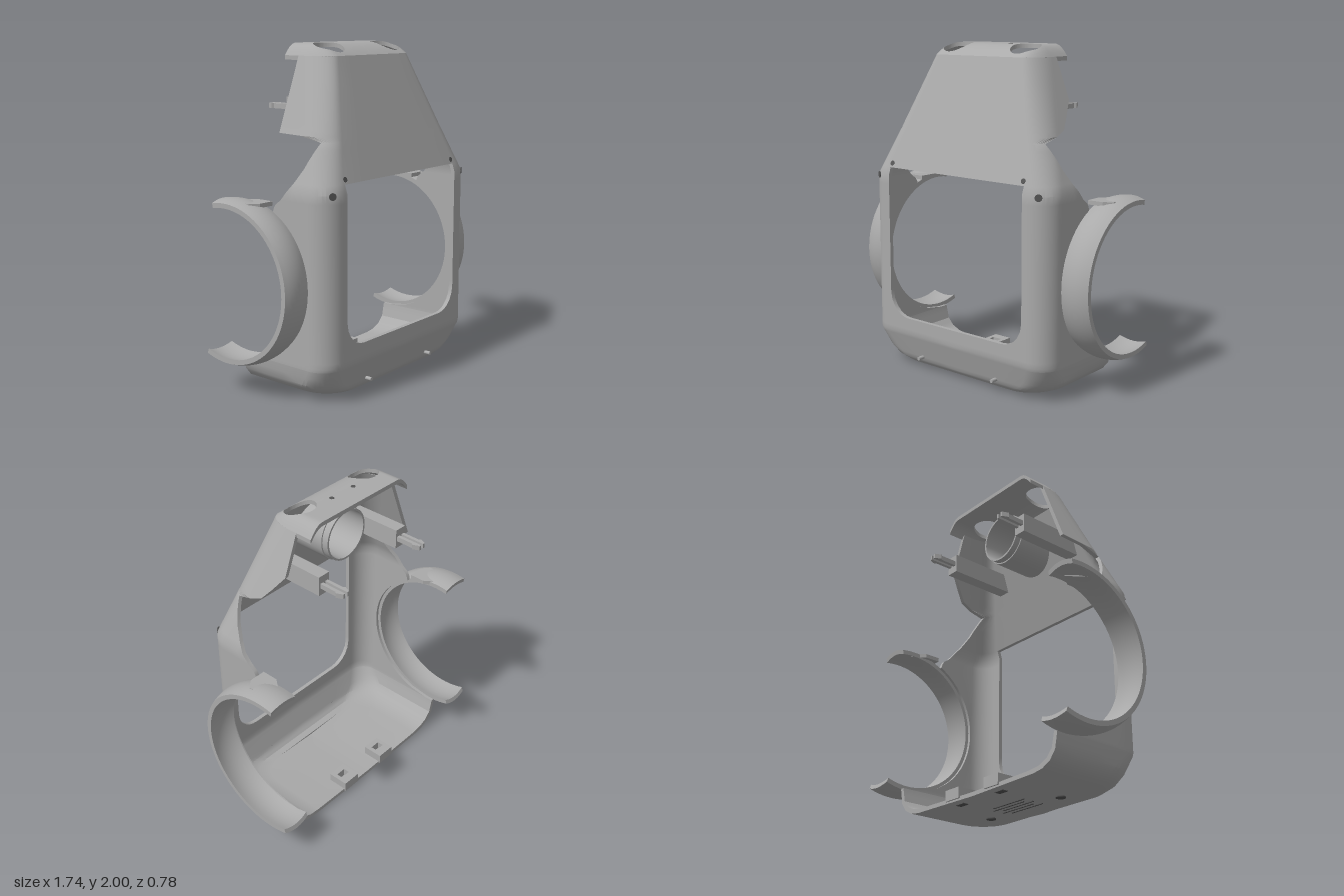
import * as THREE from 'three';
import { toCreasedNormals } from 'three/addons/utils/BufferGeometryUtils.js';

const T = 0.025; // wall thickness
const V = (x, y, z) => new THREE.Vector3(x, y, z);
const range = (n, f) => Array.from({ length: n + 1 }, (_, i) => f(i / n));

// Piecewise linear lookup in a small table of [key, value]
function look(table, k) {
  if (k <= table[0][0]) return table[0][1];
  for (let i = 1; i < table.length; i++) {
    const [a, va] = table[i - 1], [b, vb] = table[i];
    if (k <= b) return va + (vb - va) * (k - a) / (b - a);
  }
  return table[table.length - 1][1];
}

// Thick skin between matching outer and inner rows of points; sx = -1 mirrors it
function loft(outer, inner, sx = 1) {
  const loops = outer.map((o, i) => [...o, ...inner[i].slice().reverse()]);
  const m = loops[0].length, last = loops.length - 1, pos = [], idx = [];
  loops.flat().forEach(p => pos.push(p.x * sx, p.y, p.z));
  const quad = (a, b, c, d) => sx > 0 ? idx.push(a, b, c, a, c, d) : idx.push(a, c, b, a, d, c);
  for (let i = 0; i < last; i++) for (let j = 0; j < m; j++) {
    const k = (j + 1) % m;
    quad(i * m + j, i * m + k, (i + 1) * m + k, (i + 1) * m + j);
  }
  const e = last * m;
  for (let j = 0; j < m / 2 - 1; j++) {
    quad(e + j, e + j + 1, e + m - 2 - j, e + m - 1 - j);
    quad(m - 1 - j, m - 2 - j, j + 1, j);
  }
  const g = new THREE.BufferGeometry();
  g.setAttribute('position', new THREE.Float32BufferAttribute(pos, 3));
  g.setIndex(idx);
  return toCreasedNormals(g, 0.5);
}

// Body outline as functions of height
const halfWidth = [[0.01, 0.5], [0.02, 0.57], [0.05, 0.63], [0.1, 0.67], [0.2, 0.69], [1.2, 0.69], [1.52, 0.56], [1.93, 0.4]];
const frontZ = [[0.01, 0.27], [0.02, 0.31], [0.05, 0.335], [0.22, 0.39], [1.2, 0.39], [1.93, 0.15]];
const cornerX = [[0.01, 0.2], [0.2, 0.14], [1.2, 0.14], [1.93, 0.09]];
const cornerZ = [[0.01, 0.2], [0.2, 0.14], [1.2, 0.14], [1.93, 0.17]];
const shoulder = [[1.07, -0.02], [1.12, 0.01], [1.15, 0.05], [1.23, 0.12], [1.33, 0.18], [1.43, 0.22], [1.47, 0.235]];
const upperLeft = [...shoulder, [1.5, 0.14], [1.53, 0.06], [1.6, 0], [1.69, -0.07]];
const upperRight = [...shoulder, [1.5, 0.09], [1.505, -0.07]];
const WY = 0.66, WZ = -0.22; // wheel arch centre

function backZ(y, sx) {
  if (y < 0.2) return -0.27;
  const arch = Math.abs(y - WY) < 0.46 ? WZ + Math.sqrt(0.46 ** 2 - (y - WY) ** 2) : -0.27;
  return y < 1.07 ? arch : Math.max(y < 1.12 ? arch : -1, look(sx > 0 ? upperLeft : upperRight, y));
}
function windowHalf(y) {
  if (y < 0.32 || y > 1.25) return 0;
  return y < 0.47 ? 0.37 + Math.sqrt(0.15 ** 2 - (0.47 - y) ** 2) : 0.52;
}

// One horizontal row: front flat, rounded corner, side wall to its back edge
function bodyRow(y, sx, t, collapse) {
  const h = look(halfWidth, y) - t, zf = look(frontZ, y) - t;
  const rx = look(cornerX, y) - t, rz = look(cornerZ, y) - t;
  const xc = h - rx, zc = zf - rz, zb = backZ(y, sx), w = windowHalf(y);
  const end = zb > zc ? Math.asin(Math.min(1, (zb - zc) / rz)) : 0;
  const py = (collapse ? 0 : y) + t * Math.max(0, 1 - y / 0.2);
  const pts = range(3, u => V(w + (xc - w) * u, py, zf));
  pts.push(...range(10, u => {
    const a = Math.PI / 2 + (end - Math.PI / 2) * u;
    return V(xc + rx * Math.cos(a), py, zc + rz * Math.sin(a));
  }).slice(1));
  const tip = pts[pts.length - 1];
  pts.push(...range(3, u => V(tip.x, py, tip.z + (Math.min(zb, tip.z) - tip.z) * u)).slice(1));
  if (collapse) pts.forEach(p => { p.x = 0; });
  return pts;
}
function bodyHalf(sx) {
  const ys = [0.01, 0.02, 0.035, 0.05, 0.075, 0.1, 0.15, 0.1999, 0.2001, 0.22, 0.25, 0.28, 0.3199, 0.3201, 0.325, 0.335, 0.35, 0.38, 0.42, 0.47,
    ...range(14, u => 0.5 + 0.5 * u), 1.03, 1.06, 1.0699, 1.07, 1.1, 1.12, 1.15, 1.2, 1.2499, 1.2501,
    1.29, 1.33, 1.38, 1.43, 1.47, 1.5, 1.505, 1.53, 1.56, 1.6, 1.69, 1.81, 1.93];
  const rows = t => [bodyRow(0.01, sx, t, true), ...ys.map(y => bodyRow(y, sx, t, false))];
  return loft(rows(0), rows(T), sx);
}

// Domed roof half, fanned outward from the round lamp opening
function roofHalf(sx) {
  const cx = 0.26, cz = 0.035, r = 0.09;
  const fall = (x, z) => Math.max(0, (x - 0.31) / 0.09) ** 2 + Math.max(0, (z + 0.02) / 0.17) ** 2;
  const inside = (x, z) => x >= 0 && z >= -0.175 && fall(x, z) <= 1;
  const corners = [[0, -0.175], [0, 0.15], [0.4, -0.175]].map(([x, z]) => (Math.atan2(cz - z, x - cx) + 2 * Math.PI) % (2 * Math.PI));
  const angles = [...range(72, u => u * 2 * Math.PI), ...corners].sort((a, b) => a - b);
  const rows = t => angles.map(a => {
    const dx = Math.cos(a), dz = -Math.sin(a);
    let lo = r, hi = 0.6;
    for (let k = 0; k < 30; k++) {
      const mid = (lo + hi) / 2;
      if (inside(cx + dx * mid, cz + dz * mid)) lo = mid; else hi = mid;
    }
    return range(8, u => {
      const d = r + (lo - r) * u, x = cx + dx * d, z = cz + dz * d;
      return V(x, 2 - 0.07 * Math.min(1, fall(x, z)) - t, z);
    });
  });
  return loft(rows(0), rows(T), sx);
}

// Crowned wheel arch
function fender(sx) {
  const rows = base => range(56, u => {
    const a = THREE.MathUtils.degToRad(-110 + 211 * u);
    return range(8, v => {
      const r = base + 0.02 * (1 - (2 * v - 1) ** 2);
      return V(0.685 + 0.185 * v, WY + r * Math.sin(a), WZ + r * Math.cos(a));
    });
  });
  return loft(rows(0.466), rows(0.438), sx);
}

// Round socket whose front end follows the sloping panel
function socket() {
  const rows = (r, lip) => range(48, u => {
    const a = u * 2 * Math.PI, x = Math.cos(a), y = Math.sin(a);
    const p = (rr, z) => V(rr * x, 1.74 + rr * y, z);
    return [p(r, look(frontZ, 1.74 + r * y) - 0.012), p(r, -0.03), p(r + lip, -0.03), p(r + lip, -0.07)];
  });
  return loft(rows(0.165, -0.008), rows(0.145, 0));
}

// Flat outline extruded; plan outlines are given as (x, z)
function slab(points, depth, holes = []) {
  const shape = new THREE.Shape(points.map(p => new THREE.Vector2(...p)));
  holes.forEach(h => shape.holes.push(new THREE.Path(h.map(p => new THREE.Vector2(...p)))));
  return new THREE.ExtrudeGeometry(shape, { depth, bevelEnabled: false });
}
const plan = (points, y, depth, holes) => slab(points, depth, holes).rotateX(Math.PI / 2).translate(0, y + depth, 0);
const rect = (x0, x1, z0, z1) => [[x0, z0], [x1, z0], [x1, z1], [x0, z1]];

export function createModel() {
  const root = new THREE.Group();
  const shell = new THREE.MeshStandardMaterial({ color: 0xaaaaaa, side: THREE.DoubleSide });
  shell.name = 'shell grey';
  const dark = new THREE.MeshStandardMaterial({ color: 0x555555 });
  dark.name = 'recess grey';
  const add = (name, geo, mat = shell) => {
    const m = new THREE.Mesh(geo, mat);
    m.name = name;
    root.add(m);
    return m;
  };
  // Thin disc marking a screw hole
  const screwHole = (r, x, y, z, rx, ry) => {
    const m = add('screwHole', new THREE.CylinderGeometry(r, r, 0.006, 20).rotateX(Math.PI / 2), dark);
    m.position.set(x, y, z);
    m.rotation.set(rx, ry, 0);
  };

  add('lensSocket', socket());
  for (const s of [1, -1]) {
    const side = s > 0 ? 'left' : 'right';
    add(side + 'Body', bodyHalf(s));
    add(side + 'Roof', roofHalf(s));
    add(side + 'Fender', fender(s));
    add(side + 'FenderTab', plan([[0.66, -0.04], [0.76, -0.04], [0.81, -0.08], [0.81, -0.1], [0.72, -0.22], [0.66, -0.14]].map(([x, z]) => [s * x, z]), 1.105, 0.025));

    // Rear bracket beam with a split clip
    const beam = slab([[-0.2, 1.57], [-0.2, 1.69], [0.215, 1.69], [0.255, 1.57]], 0.08);
    add(side + 'Bracket', beam.rotateY(-Math.PI / 2).translate(s * 0.327 + 0.04, 0, 0));
    for (const k of [1, -1]) {
      const prong = [[0.009, -0.19], [0.03, -0.19], [0.03, -0.31], [0.04, -0.32], [0.022, -0.36], [0.009, -0.36]];
      add(side + 'ClipProng', plan(prong.map(([x, z]) => [s * 0.327 + k * x, z]), 1.615, 0.03));
    }

    // Floor latch block, front peg and screw holes
    add(side + 'LatchBlock', plan(rect(s * 0.17 - 0.06, s * 0.17 + 0.06, -0.28, -0.15), 0.015, 0.065,
      [rect(s * 0.17 - 0.033, s * 0.17 + 0.033, -0.225, -0.185)]));
    add(side + 'LatchSlot', new THREE.BoxGeometry(0.066, 0.004, 0.04).translate(s * 0.17, 0, -0.205), dark);
    add(side + 'FrontPeg', new THREE.CylinderGeometry(0.011, 0.011, 0.07, 16).rotateX(Math.PI / 2).translate(s * 0.295, 0.075, 0.35));
    screwHole(0.015, s * 0.51, 1.275, 0.365, -0.318, 0);
    screwHole(0.021, s * 0.62, 1.195, 0.371, 0, s * 0.52);
    screwHole(0.014, s * 0.088, 1.998, -0.04, -Math.PI / 2, 0);
    screwHole(0.03, s * 0.3, 0.002, 0.12, Math.PI / 2, 0);
  }

  // Underside vents
  for (let i = 0; i < 5; i++)
    add('ventSlot', new THREE.BoxGeometry(0.26, 0.004, 0.01).translate(i % 2 ? 0.02 : -0.02, 0, -0.02 + i * 0.035), dark);

  return root;
}
